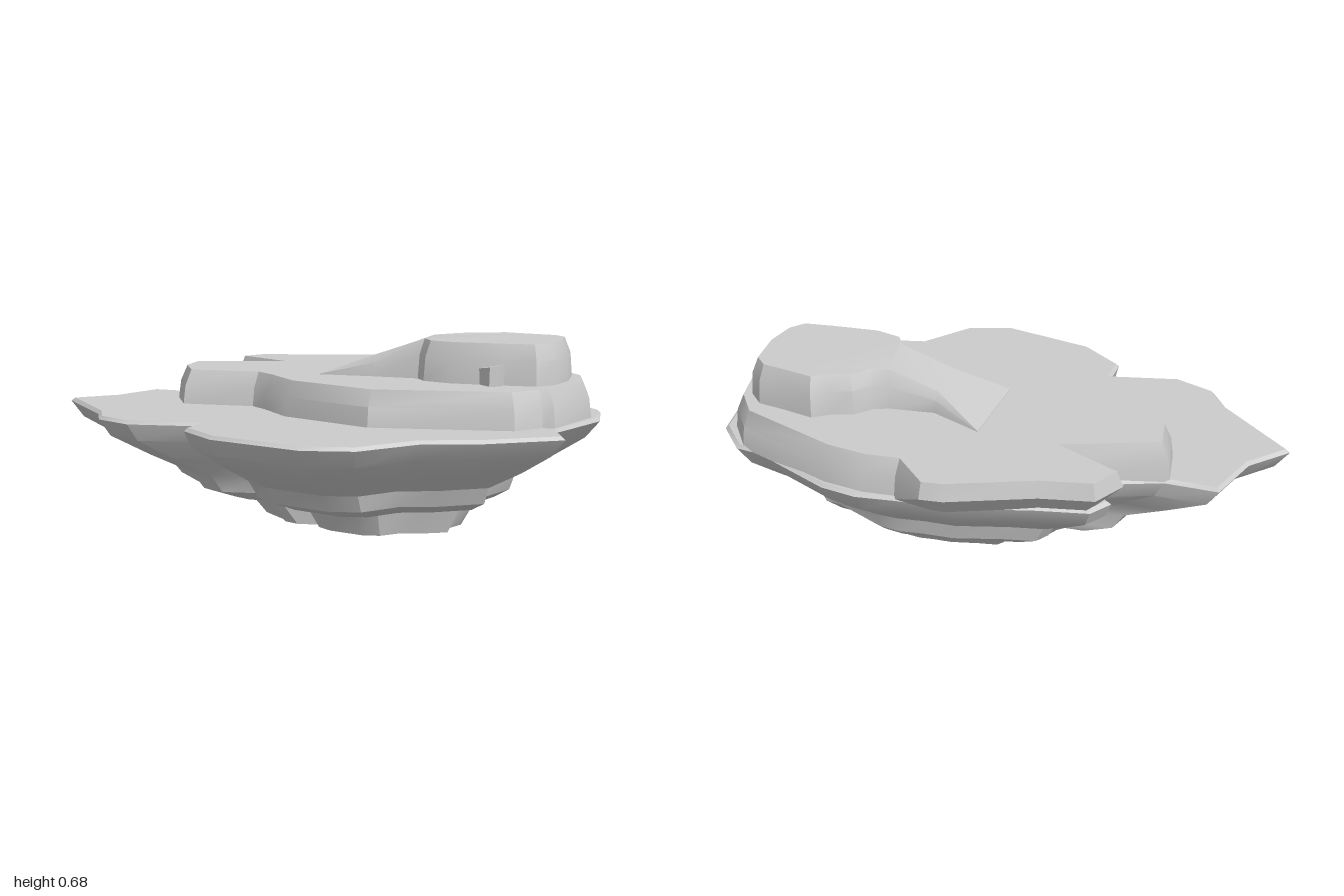
import * as THREE from 'three';
import { toCreasedNormals } from 'three/addons/utils/BufferGeometryUtils.js';

const material = new THREE.MeshStandardMaterial({ color: 0xcccccc });

// Outlines as [x, z], clockwise from above
const orient = (pts) => {
  const area = THREE.ShapeUtils.area(pts.map(([x, z]) => new THREE.Vector2(x, z)));
  return area > 0 ? pts : [...pts].reverse();
};

// Move every corner inward by d(x, z), mitred with a limit
function inset(pts, d) {
  const n = pts.length;
  return pts.map(([x, z], i) => {
    const [px, pz] = pts[(i + n - 1) % n], [qx, qz] = pts[(i + 1) % n];
    const a = new THREE.Vector2(-(z - pz), x - px).normalize();
    const b = new THREE.Vector2(-(qz - z), qx - x).normalize();
    const k = d(x, z) / Math.max(0.5, 1 + a.dot(b));
    return [x + (a.x + b.x) * k, z + (a.y + b.y) * k];
  });
}

const atHeight = (pts, y) => pts.map(([x, z]) => [x, typeof y === 'function' ? y(x, z) : y, z]);

// Closed solid through rings of equal length, listed from bottom to top
function loft(name, rings) {
  const n = rings[0].length, position = rings.flat(2), index = [];
  for (let r = 0; r < rings.length - 1; r++) {
    for (let i = 0; i < n; i++) {
      const a = r * n + i, b = r * n + (i + 1) % n;
      index.push(a, a + n, b, b, a + n, b + n);
    }
  }
  const cap = (r, up) => {
    const flat = rings[r].map(([x, , z]) => new THREE.Vector2(x, z));
    for (const [a, b, c] of THREE.ShapeUtils.triangulateShape(flat, [])) {
      const facesDown = THREE.ShapeUtils.area([flat[a], flat[b], flat[c]]) > 0;
      const f = facesDown === up ? [a, c, b] : [a, b, c];
      index.push(...f.map((v) => v + r * n));
    }
  };
  cap(0, false);
  cap(rings.length - 1, true);
  const geometry = new THREE.BufferGeometry();
  geometry.setAttribute('position', new THREE.Float32BufferAttribute(position, 3));
  geometry.setIndex(index);
  const mesh = new THREE.Mesh(toCreasedNormals(geometry, 0.55), material);
  mesh.name = name;
  return mesh;
}

// Wide lower ledge
const ledge = orient([
  [-1, 0.08], [-0.88, -0.06], [-0.82, -0.27], [-0.63, -0.27], [-0.38, -0.37],
  [-0.5, -0.46], [-0.45, -0.54], [-0.27, -0.58], [0, -0.66], [0.18, -0.67],
  [0.32, -0.69], [0.45, -0.67], [0.76, -0.53], [0.85, -0.52], [0.96, -0.4],
  [1, -0.2], [0.92, 0.1], [0.98, 0.24], [0.75, 0.42], [0.57, 0.5],
  [0.43, 0.7], [0.26, 0.755], [-0.09, 0.68], [-0.25, 0.56], [-0.25, 0.45],
  [-0.5, 0.51], [-0.65, 0.45], [-0.72, 0.34],
]);

// Raised terrace
const terrace = orient([
  [-0.65, -0.26], [-0.62, -0.09], [-0.52, 0.06], [-0.25, 0.02], [-0.18, 0.07],
  [-0.04, 0.2], [0.32, 0.32], [0.8, 0.2], [0.87, 0.1], [0.91, 0.09],
  [0.97, -0.2], [0.92, -0.39], [0.83, -0.51], [0.45, -0.65], [0.3, -0.67],
  [0.19, -0.66], [0.06, -0.76], [-0.02, -0.75], [-0.3, -0.63], [-0.48, -0.59],
  [-0.54, -0.47], [-0.34, -0.37],
]);

// Summit with a ramp running down towards -x
const summit = orient([
  [0, -0.03], [0.2, -0.05], [0.37, -0.055], [0.41, 0], [0.52, 0.03], [0.7, 0.015],
  [0.82, 0], [0.87, -0.07], [0.885, -0.2], [0.86, -0.36], [0.8, -0.42], [0.7, -0.435],
  [0.58, -0.46], [0.53, -0.42], [0.45, -0.39], [0.4, -0.33], [0.35, -0.31],
  [0.19, -0.29], [0, -0.37],
]);

export function createModel() {
  const group = new THREE.Group();
  group.name = 'rockIsland';

  // Stepped underside: height, x scale, z scale, x centre, z centre
  const steps = [
    [0, 0.37, 0.31, 0.15, -0.05],
    [0.1, 0.45, 0.4, 0.12, -0.07],
    [0.105, 0.53, 0.54, 0.1, -0.03],
    [0.14, 0.62, 0.63, 0.07, -0.005],
    [0.2, 0.655, 0.66, 0.055, 0.005],
    [0.27, 0.81, 0.82, 0.03, 0.02],
    [0.34, 0.95, 0.955, 0, 0.03],
    [0.4, 1, 1, 0, 0.035],
  ].map(([y, sx, sz, cx, cz]) => ledge.map(([x, z]) => [x * sx + cx, y, (z - 0.035) * sz + cz]));
  group.add(loft('lowerLedge', [...steps, atHeight(inset(ledge, () => 0.012), 0.412)]));

  // The terrace overhangs the ledge at the back right
  const overhangs = (x, z) => x < 0.1 && z < -0.4;
  group.add(loft('terrace', [
    atHeight(inset(terrace, (x, z) => (overhangs(x, z) ? 0.07 : 0)), 0.4),
    atHeight(inset(terrace, (x, z) => (overhangs(x, z) ? 0 : 0.01)), 0.48),
    atHeight(inset(terrace, (x, z) => (overhangs(x, z) ? 0.015 : 0.035)), 0.538),
  ]));

  // Summit walls lean inward and shrink to nothing at the foot of the ramp
  const rise = (x) => 0.14 * Math.min(1, Math.max(0, x / 0.37));
  const lean = (d) => (x) => d * Math.min(1, x / 0.2);
  group.add(loft('summit', [
    atHeight(summit, 0.53),
    atHeight(inset(summit, lean(0.008)), (x) => 0.54 + rise(x) * 0.6),
    atHeight(inset(summit, lean(0.03)), (x) => 0.54 + rise(x)),
  ]));

  // Small pointed outcrop against the summit wall
  group.add(loft('outcrop', [
    atHeight(orient([[0.6, 0], [0.67, 0.065], [0.7, 0.05], [0.71, 0]]), 0.53),
    atHeight(orient([[0.6, 0], [0.67, 0.06], [0.7, 0.045], [0.71, 0]]), (x) => 0.59 + (x - 0.6) * 0.2),
  ]));
  return group;
}
